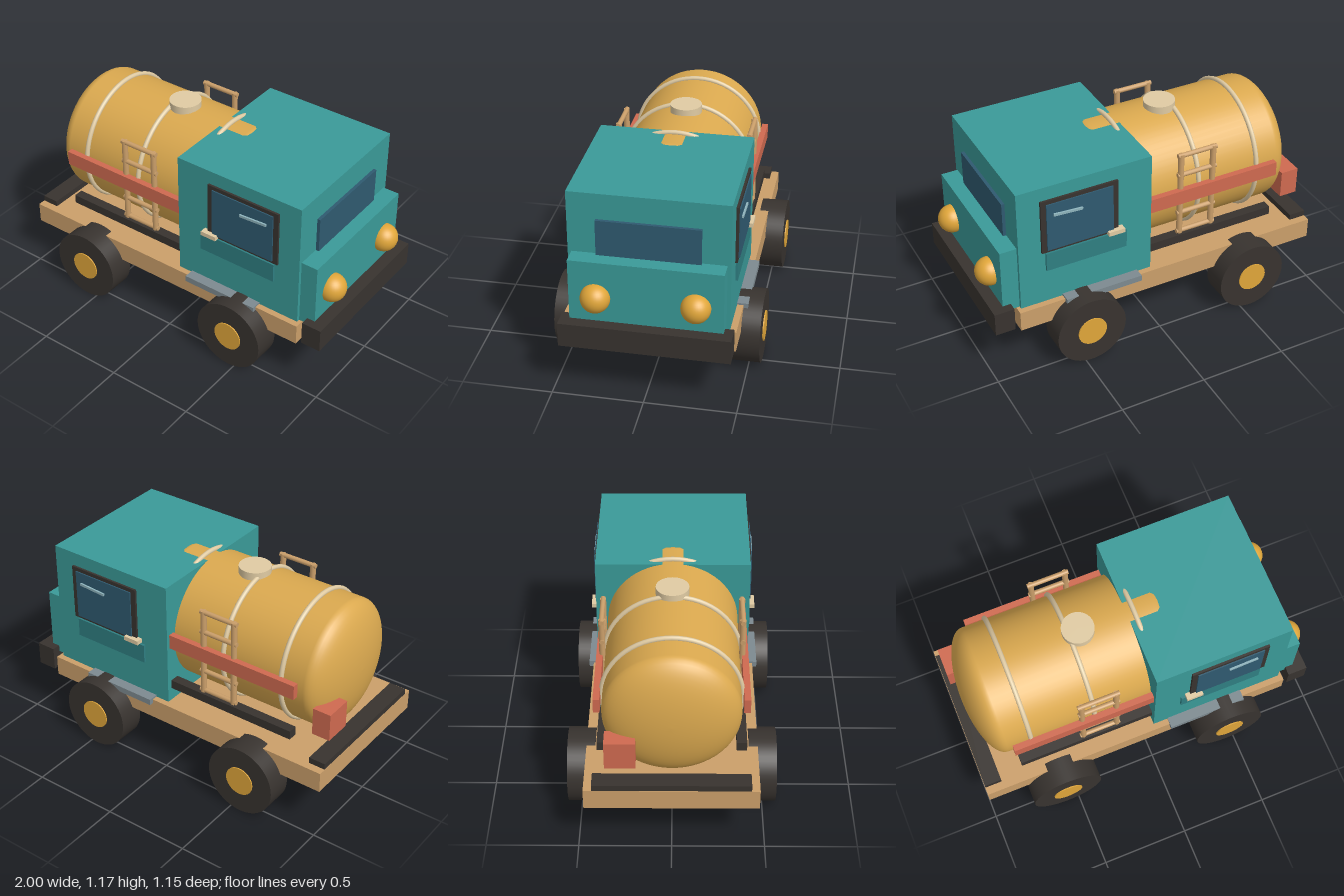
import * as THREE from 'three';

const paint = (color) => new THREE.MeshStandardMaterial({ color });
const TEAL = paint(0x3a9a98), PANEL = paint(0x2f7f82), GLASS = paint(0x2f5a70), DARK = paint(0x38332f);
const TANK = paint(0xdba94f), AMBER = paint(0xe0a63a), WOOD = paint(0xcb9f6a), CREAM = paint(0xe0cba3);
const RED = paint(0xcf6a50), STEEL = paint(0x7d8a90), SILVER = paint(0x8fb4bd);

export function createModel() {
  const model = new THREE.Group();
  model.name = 'tankTruck';

  const add = (name, geometry, material, parent = model) => {
    const mesh = new THREE.Mesh(geometry, material);
    mesh.name = name;
    parent.add(mesh);
    return mesh;
  };
  // Box given by its extents on each axis
  const box = (name, material, [x0, x1], [y0, y1], [z0, z1], parent = model) => {
    const mesh = add(name, new THREE.BoxGeometry(x1 - x0, y1 - y0, z1 - z0), material, parent);
    mesh.position.set((x0 + x1) / 2, (y0 + y1) / 2, (z0 + z1) / 2);
    return mesh;
  };
  // Box placed on one side of the truck, z given as distance from the middle
  const sideBox = (name, material, xs, ys, [near, far], side, parent) =>
    box(name, material, xs, ys, side > 0 ? [near, far] : [-far, -near], parent);

  // Chassis and bumpers
  box('chassis', WOOD, [-1, 0.835], [0.275, 0.395], [-0.465, 0.465]);
  box('frontBumper', DARK, [0.865, 0.98], [0.295, 0.433], [-0.46, 0.46]);
  box('rearBumper', DARK, [-0.998, -0.9], [0.31, 0.43], [-0.42, 0.42]);

  // Tank: cylinder with shallow domed ends, turned about the x axis
  const R = 0.365, dome = 0.14, tankY = 0.775, back = -0.81, front = 0.19;
  const profile = [];
  for (let i = 0; i <= 14; i++) {
    const a = (i / 14) * Math.PI / 2;
    profile.push(new THREE.Vector2(R * Math.sin(a), back - dome * Math.cos(a)));
  }
  for (let i = 14; i >= 0; i--) {
    const a = (i / 14) * Math.PI / 2;
    profile.push(new THREE.Vector2(R * Math.sin(a), front + dome * Math.cos(a)));
  }
  const tank = add('tank', new THREE.LatheGeometry(profile, 64), TANK);
  tank.rotation.z = -Math.PI / 2;
  tank.position.y = tankY;

  // Tank bands and filler hatch
  for (const x of [-0.675, -0.303, 0.07]) {
    const band = add('tankBand', new THREE.TorusGeometry(0.37, 0.014, 10, 64), CREAM);
    band.rotation.y = Math.PI / 2;
    band.position.set(x, tankY, 0);
  }
  const hatch = add('fillerHatch', new THREE.CylinderGeometry(0.09, 0.09, 0.05, 32), CREAM);
  hatch.position.set(-0.247, 1.15, 0);

  // Cab, hood and windshield
  box('cab', TEAL, [0.03, 0.815], [0.395, 1.135], [-0.43, 0.43]);
  box('hood', TEAL, [0.8, 0.912], [0.395, 0.785], [-0.41, 0.41]);
  box('windshield', GLASS, [0.8, 0.833], [0.72, 0.988], [-0.277, 0.277]);

  // Single tail lamp
  box('tailLamp', RED, [-0.975, -0.868], [0.53, 0.692], [-0.35, -0.187]);

  for (const side of [1, -1]) {
    // Headlight
    const lamp = add('headlight', new THREE.SphereGeometry(0.08, 32, 20), AMBER);
    lamp.position.set(0.92, 0.577, side * 0.265);

    // Wheels with hubs showing on both faces
    for (const x of [-0.56, 0.46]) {
      const wheel = new THREE.Group();
      wheel.name = 'wheel';
      wheel.position.set(x, 0.205, side * 0.4925);
      wheel.rotation.x = Math.PI / 2;
      add('tire', new THREE.CylinderGeometry(0.205, 0.205, 0.153, 48), DARK, wheel);
      add('hub', new THREE.CylinderGeometry(0.085, 0.085, 0.166, 32), AMBER, wheel);
      model.add(wheel);
    }

    // Side rails along the tank
    sideBox('sideStripe', RED, [-0.783, 0.18], [0.745, 0.83], [0.375, 0.41], side);
    sideBox('lowerRail', DARK, [-0.763, 0.16], [0.473, 0.525], [0.345, 0.4], side);

    // Ladder
    const ladder = new THREE.Group();
    ladder.name = 'ladder';
    ladder.position.set(-0.28, 0, side * 0.377);
    for (const x of [-0.1, 0.1]) {
      const rail = add('ladderRail', new THREE.CylinderGeometry(0.017, 0.017, 0.52, 12), WOOD, ladder);
      rail.position.set(x, 0.79, 0);
    }
    for (let i = 0; i < 5; i++) {
      const rung = add('ladderRung', new THREE.CylinderGeometry(0.014, 0.014, 0.24, 12), WOOD, ladder);
      rung.rotation.z = Math.PI / 2;
      rung.position.y = 0.541 + i * 0.125;
    }
    model.add(ladder);

    // Door: window frame, glass, lower panel, handle and glass trim
    const door = new THREE.Group();
    door.name = 'door';
    model.add(door);
    sideBox('windowFrame', DARK, [0.235, 0.685], [0.727, 1.055], [0.42, 0.443], side, door);
    sideBox('sideWindow', GLASS, [0.267, 0.655], [0.742, 1.033], [0.43, 0.45], side, door);
    sideBox('doorPanel', PANEL, [0.185, 0.662], [0.605, 0.717], [0.42, 0.443], side, door);
    sideBox('doorHandle', CREAM, [0.208, 0.303], [0.725, 0.75], [0.43, 0.47], side, door);
    const trim = sideBox('windowTrim', SILVER, [0.45, 0.617], [0.954, 0.968], [0.44, 0.46], side, door);
    trim.rotation.z = 0.06;

    // Step under the door
    sideBox('step', STEEL, [0.115, 0.57], [0.37, 0.406], [0.42, 0.49], side);
  }
  return model;
}
